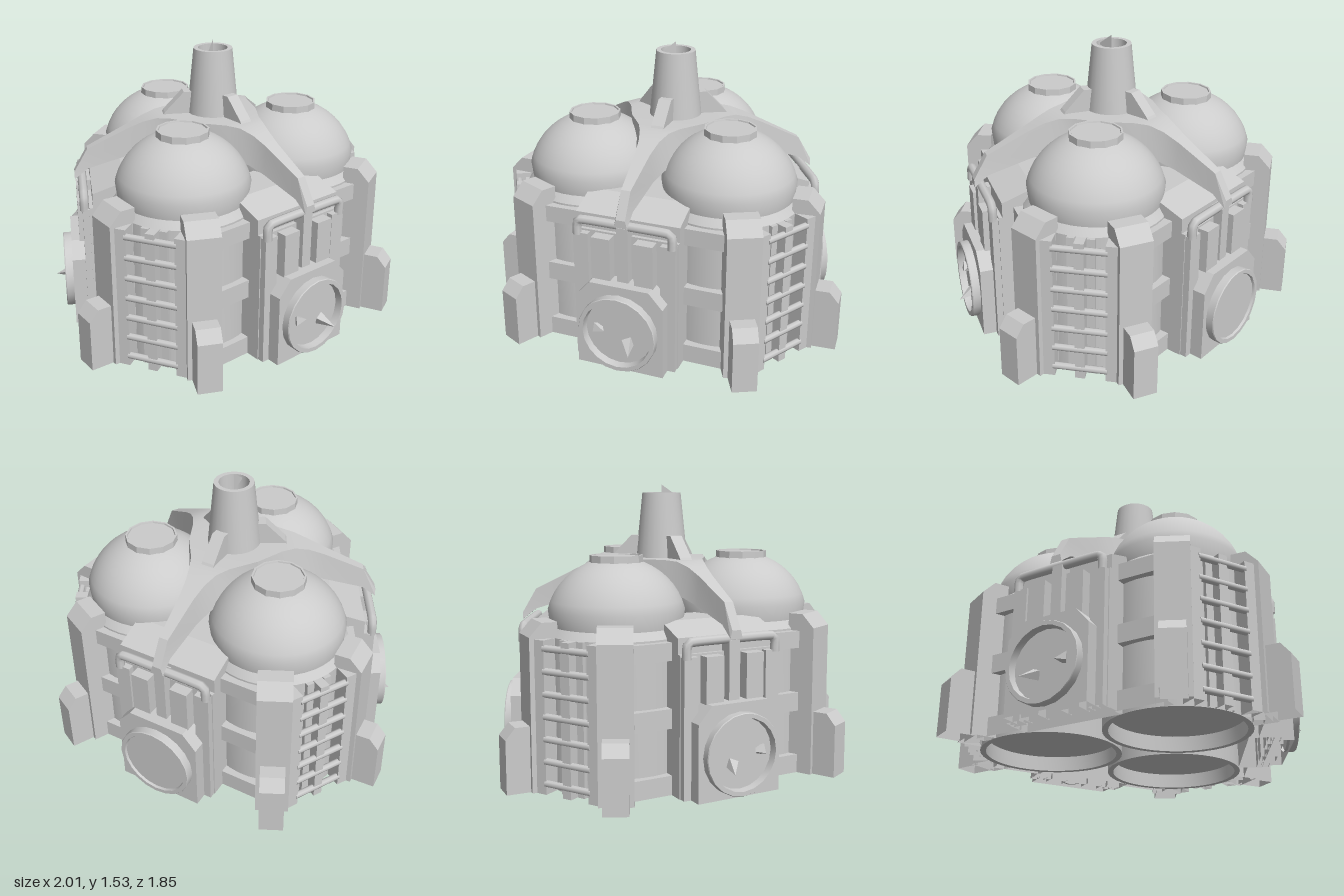
import * as THREE from 'three';
import { toCreasedNormals } from 'three/addons/utils/BufferGeometryUtils.js';

// Most parts are shells open to the ground, so both sides show
const grey = new THREE.MeshStandardMaterial({ color: 0xcccccc, side: THREE.DoubleSide });
const V2 = (p) => new THREE.Vector2(p[0], p[1]);

function add(parent, name, geo, x = 0, y = 0, z = 0) {
  const m = new THREE.Mesh(geo, grey);
  m.name = name;
  m.position.set(x, y, z);
  parent.add(m);
  return m;
}

// Drops the faces resting on the ground, leaving an open shell
function openBottom(geo) {
  const flat = geo.index ? geo.toNonIndexed() : geo;
  const p = flat.attributes.position, kept = [];
  for (let i = 0; i < p.count; i += 3) {
    if (Math.max(p.getY(i), p.getY(i + 1), p.getY(i + 2)) < 0.001) continue;
    for (let j = i; j < i + 3; j++) kept.push(p.getX(j), p.getY(j), p.getZ(j));
  }
  const out = new THREE.BufferGeometry();
  out.setAttribute('position', new THREE.Float32BufferAttribute(kept, 3));
  out.computeVertexNormals();
  return out;
}

// Box given by its ranges
function box(parent, name, x0, x1, y0, y1, z0, z1) {
  const geo = new THREE.BoxGeometry(x1 - x0, y1 - y0, z1 - z0)
    .translate((x0 + x1) / 2, (y0 + y1) / 2, (z0 + z1) / 2);
  return add(parent, name, openBottom(geo));
}

// Side profile in (z, y), given a width along x
function slab(points, width) {
  const g = new THREE.ExtrudeGeometry(new THREE.Shape(points.map(V2)), { depth: width, bevelEnabled: false });
  return openBottom(g.rotateY(-Math.PI / 2).translate(width / 2, 0, 0));
}

const lathe = (points, sides) =>
  toCreasedNormals(new THREE.LatheGeometry(points.map(V2), sides), 0.5);

// Round tower with a dome, cap, ladder and buttresses; outward is +z
function makeTower() {
  const g = new THREE.Group();
  g.name = 'tower';
  g.position.z = 0.44;
  const profile = [[0, 0.08], [0.345, 0.08], [0.345, 0], [0.375, 0], [0.375, 0.78], [0.345, 0.82]];
  for (let i = 0; i <= 10; i++) {
    const a = 0.24 + (i / 10) * (Math.PI / 2 - 0.24);
    profile.push([0.365 * Math.cos(a), 0.818 + 0.347 * Math.sin(a)]);
  }
  add(g, 'domedTower', lathe(profile, 40));
  add(g, 'domeCap', lathe([[0.14, 1.12], [0.138, 1.175], [0.128, 1.175], [0.126, 1.167], [0, 1.167]], 12));

  // Ladder set between two upright sides
  for (const s of [-1, 1]) {
    box(g, 'ladderSide', s * 0.16 - 0.03, s * 0.16 + 0.03, 0, 0.78, 0.35, 0.44);
    box(g, 'ladderBackPost', s * 0.05 - 0.02, s * 0.05 + 0.02, 0, 0.78, 0.35, 0.39);
  }
  box(g, 'ladderCentrePost', -0.025, 0.025, 0, 0.78, 0.35, 0.44);
  for (let i = 0; i < 7; i++) {
    const rung = new THREE.CylinderGeometry(0.018, 0.018, 0.28, 8).rotateZ(Math.PI / 2);
    add(g, 'ladderRung', rung, 0, 0.055 + i * 0.114, 0.428);
  }

  // Tall buttress with a low foot on each side
  for (const s of [-1, 1]) {
    const b = new THREE.Group();
    b.name = 'buttress';
    b.rotation.y = s * 0.588;
    add(b, 'tallPillar', slab([[0.35, 0], [0.495, 0], [0.495, 0.79], [0.43, 0.86], [0.35, 0.86]], 0.175));
    add(b, 'pillarFoot', slab([[0.47, 0], [0.62, 0], [0.62, 0.28], [0.57, 0.34], [0.47, 0.34]], 0.128));
    g.add(b);
  }
  return g;
}

// Bay between two towers with a round hatch; outward is +z
function makeBay(shardSide) {
  const g = new THREE.Group();
  g.name = 'bay';
  add(g, 'bayBody', slab([[0.58, 0], [0.71, 0], [0.71, 0.72], [0.69, 0.72], [0.69, 0.8], [0.52, 0.86],
    [0.3, 0.86], [0.3, 0.7], [0.58, 0.7]], 0.56));
  for (const s of [-1, 1]) {
    box(g, 'outerStrip', s * 0.235 - 0.04, s * 0.235 + 0.04, 0, 0.71, 0.68, 0.745);
    box(g, 'innerStrip', s * 0.115 - 0.05, s * 0.115 + 0.05, 0, 0.71, 0.68, 0.77);
    // Flat bands bridging the towers to the bay
    for (const [y0, y1] of [[0, 0.1], [0.34, 0.44], [0.68, 0.77]])
      box(g, 'wallBand', s * 0.41 - 0.14, s * 0.41 + 0.14, y0, y1, 0.575, 0.63);
  }
  box(g, 'centreStrip', -0.03, 0.03, 0.4, 0.78, 0.6, 0.76);

  // Bent rail along the roof edge
  const rail = new THREE.CatmullRomCurve3([[-0.255, 0.7], [-0.255, 0.755], [-0.23, 0.783], [0, 0.785],
    [0.23, 0.783], [0.255, 0.755], [0.255, 0.7]].map(([x, y]) => new THREE.Vector3(x, y, 0.735)), false, 'catmullrom', 0.3);
  add(g, 'roofRail', new THREE.TubeGeometry(rail, 28, 0.024, 8));

  // Eight-sided plate and round hatch
  const w = 0.235, c = 0.16;
  const plate = new THREE.Shape([[-w, 0], [w, 0], [w, c + w], [c, 0.48], [-c, 0.48], [-w, c + w]].map(V2));
  const plateGeo = new THREE.ExtrudeGeometry(plate, { depth: 0.115, bevelEnabled: false });
  add(g, 'hatchPlate', openBottom(plateGeo), 0, 0, 0.7);
  const depth = shardSide ? 0.82 : 0.848;
  const hatch = lathe([[0.21, 0.8], [0.21, 0.855], [0.207, 0.86], [0.185, 0.86], [0.18, depth], [0, depth]], 20);
  add(g, 'roundHatch', hatch.rotateX(Math.PI / 2), 0, 0.225, 0);

  // Pointed shards standing out of the front hatches
  if (shardSide) {
    for (const [x, y, tx, ty, tz] of [[0.05, 0.18, 0.086, 0.15, 0.91], [-0.12, 0.23, -0.07, 0.23, 0.85]]) {
      const base = new THREE.Vector3(shardSide * x, y, 0.82);
      const dir = new THREE.Vector3(shardSide * tx, ty, tz).sub(base);
      const len = dir.length();
      const cone = new THREE.ConeGeometry(0.035, len, 4).translate(0, len / 2, 0);
      const m = add(g, 'hatchShard', toCreasedNormals(cone, 0.1));
      m.position.copy(base);
      m.quaternion.setFromUnitVectors(new THREE.Vector3(0, 1, 0), dir.normalize());
    }
  }
  return g;
}

// Roof arm lofted from stations: z, top half width, bottom half width, top y, bottom y
function armGeometry() {
  const stations = [[0, 0, 0, 1.14, 1.03], [0.12, 0.208, 0.208, 1.14, 1.03], [0.25, 0.115, 0.137, 1.14, 1.0],
    [0.32, 0.08, 0.108, 1.135, 0.97], [0.395, 0.055, 0.08, 1.11, 0.95], [0.48, 0.04, 0.055, 1.07, 0.92],
    [0.7, 0.025, 0.036, 0.96, 0.85], [0.775, 0.025, 0.035, 0.83, 0.79]];
  const pos = [], index = [];
  stations.forEach(([z, wt, wb, yt, yb], i) => {
    pos.push(-wb, yb, z, wb, yb, z, wt, yt, z, -wt, yt, z);
    if (i === 0) return;
    for (let k = 0; k < 4; k++) {
      // The inner wedge has no side walls
      if (i === 1 && k % 2 === 1) continue;
      const a = (i - 1) * 4 + k, b = (i - 1) * 4 + ((k + 1) % 4);
      index.push(a, b, b + 4, a, b + 4, a + 4);
    }
  });
  const e = (stations.length - 1) * 4;
  index.push(e, e + 1, e + 2, e, e + 2, e + 3);
  const geo = new THREE.BufferGeometry();
  geo.setAttribute('position', new THREE.Float32BufferAttribute(pos, 3));
  geo.setIndex(index);
  return toCreasedNormals(geo, 0.3);
}

export function createModel() {
  const model = new THREE.Group();
  model.name = 'domedBuilding';
  const hub = new THREE.Group();
  hub.name = 'hub';
  hub.position.z = -0.07;
  model.add(hub);

  // Three identical sectors around the chimney
  for (let k = 0; k < 3; k++) {
    const sector = new THREE.Group();
    sector.name = 'sector';
    sector.rotation.y = (k * Math.PI * 2) / 3;
    sector.add(makeTower());
    const bay = makeBay([1, 0, -1][k]);
    bay.rotation.y = Math.PI / 3;
    add(bay, 'roofArm', armGeometry());
    add(bay, 'chimneyFin', slab([[0.08, 1.12], [0.29, 1.12], [0.27, 1.15], [0.165, 1.26], [0.08, 1.26]], 0.07));
    sector.add(bay);
    hub.add(sector);
  }

  // Hollow chimney with a thin blade in its mouth
  add(hub, 'chimney', lathe([[0.145, 1.1], [0.105, 1.492], [0.08, 1.492], [0.075, 1.3], [0, 1.3]], 24));
  const blade = new THREE.Shape([[0.09, 1.47], [0, 1.44], [0, 1.535]].map(V2));
  add(hub, 'chimneyBlade', new THREE.ShapeGeometry(blade).rotateY(-Math.PI / 2));
  return model;
}
